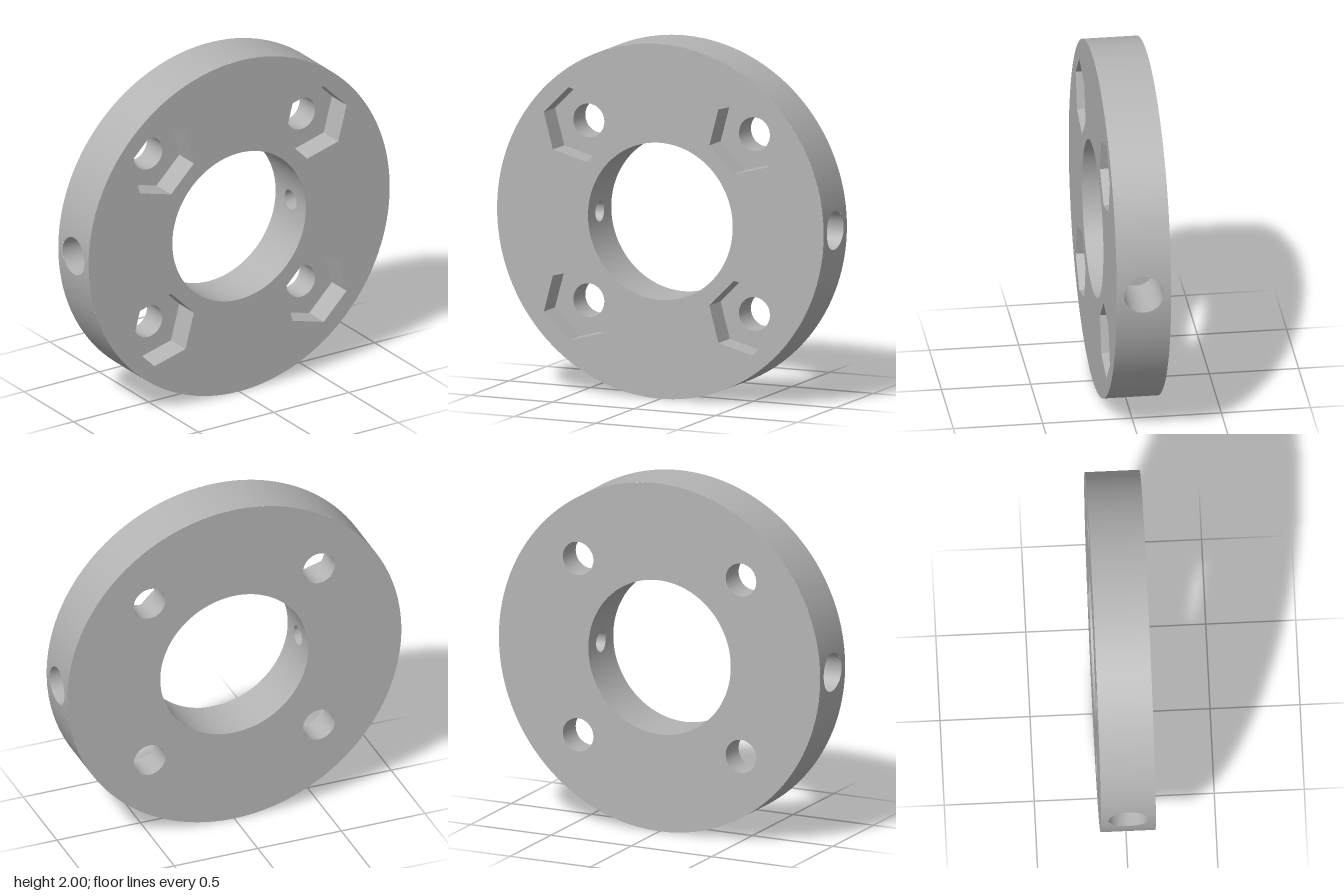
import * as THREE from 'three';
import { mergeGeometries } from 'three/addons/utils/BufferGeometryUtils.js';

const R = 1, BORE = 0.443, H = 0.1525;          // ring radii and half thickness
const BOLT = 0.507, BOLT_R = 0.095;             // bolt hole offset and radius
const HEX_R = 0.214, HEX_Z = 0.005;             // nut pocket radius and floor height
const SIDE_R = 0.11, PIN_R = 0.058, STEP_X = 0.65; // counterbored side holes
const TAU = Math.PI * 2;

// Grid surface from point and normal rules; winding follows the normals
function grid(nu, nv, point, normal) {
  const pos = [], nor = [], idx = [];
  for (let j = 0; j <= nv; j++) for (let i = 0; i <= nu; i++) {
    const p = point(i / nu, j / nv);
    pos.push(...p);
    nor.push(...new THREE.Vector3(...normal(p)).normalize().toArray());
  }
  const v = (i) => new THREE.Vector3().fromArray(pos, i * 3);
  const face = v(1).sub(v(0)).cross(v(nu + 1).sub(v(0)));
  const flip = face.dot(new THREE.Vector3().fromArray(nor)) < 0;
  for (let j = 0; j < nv; j++) for (let i = 0; i < nu; i++) {
    const a = j * (nu + 1) + i, b = a + 1, c = a + nu + 1, d = c + 1;
    idx.push(...(flip ? [a, c, b, b, c, d] : [a, b, c, b, d, c]));
  }
  const g = new THREE.BufferGeometry();
  g.setAttribute('position', new THREE.Float32BufferAttribute(pos, 3));
  g.setAttribute('normal', new THREE.Float32BufferAttribute(nor, 3));
  g.setIndex(idx);
  return g;
}

// Cylindrical wall around z with a round hole on each side
function wall(radius, holeR, half, sign) {
  const normal = ([x, y]) => [x * sign, y * sign, 0];
  const on = (t, z) => [radius * Math.cos(t), radius * Math.sin(t), z];
  const parts = [];
  for (const base of [0, Math.PI]) {
    parts.push(grid(80, 1, (u, v) =>
      on(base + half + u * (Math.PI - 2 * half), H * (2 * v - 1)), normal));
    parts.push(grid(64, 6, (u, v) => {
      const c = Math.cos(u * TAU), s = Math.sin(u * TAU), m = Math.max(Math.abs(c), Math.abs(s));
      const t0 = Math.asin(holeR * c / radius);
      return on(base + t0 + (half * c / m - t0) * v, holeR * s + (H * s / m - holeR * s) * v);
    }, normal));
  }
  return mergeGeometries(parts);
}

// Stepped hole running inwards along x
function sideHole(dir) {
  const inward = ([, y, z]) => [0, -y, -z];
  const tube = (r, from, to) => grid(48, 1, (u, v) => {
    const y = r * Math.cos(u * TAU), z = r * Math.sin(u * TAU);
    return [dir * (from(y) + (to(y) - from(y)) * v), y, z];
  }, inward);
  const arc = (rad) => (y) => Math.sqrt(rad * rad - y * y), step = () => STEP_X;
  const ledge = grid(48, 1, (u, v) => {
    const r = SIDE_R + (PIN_R - SIDE_R) * v;
    return [dir * STEP_X, r * Math.cos(u * TAU), r * Math.sin(u * TAU)];
  }, () => [dir, 0, 0]);
  return mergeGeometries([tube(SIDE_R, arc(R), step), ledge, tube(PIN_R, step, arc(BORE))]);
}

const circle = (C, x, y, r) => new C().absarc(x, y, r, 0, TAU, false);

// Corners of a nut pocket, mirrored by quadrant
const hexPoints = (sx, sy) => Array.from({ length: 6 }, (_, k) => {
  const a = (15 + 60 * k) * Math.PI / 180;
  return new THREE.Vector2(sx * (BOLT + HEX_R * Math.cos(a)), sy * (BOLT + HEX_R * Math.sin(a)));
});

export function createModel() {
  const grey = new THREE.MeshStandardMaterial({ color: 0xb4b4b4 });
  grey.name = 'grey';
  const model = new THREE.Group();
  model.name = 'clampRing';
  const add = (name, geometry) => {
    const m = new THREE.Mesh(geometry, grey);
    m.name = name;
    m.position.y = R;
    model.add(m);
    return m;
  };
  const quadrants = [[1, 1], [-1, 1], [-1, -1], [1, -1]];

  // Flat faces
  const front = circle(THREE.Shape, 0, 0, R), back = circle(THREE.Shape, 0, 0, R);
  for (const s of [front, back]) s.holes.push(circle(THREE.Path, 0, 0, BORE));
  for (const [sx, sy] of quadrants) {
    front.holes.push(new THREE.Path(hexPoints(sx, sy)));
    back.holes.push(circle(THREE.Path, sx * BOLT, sy * BOLT, BOLT_R));
  }
  add('frontFace', new THREE.ShapeGeometry(front, 80).translate(0, 0, H));
  add('backFace', new THREE.ShapeGeometry(back, 80).rotateY(Math.PI).translate(0, 0, -H));

  // Outer rim and bore
  add('outerRim', wall(R, SIDE_R, 0.16, 1));
  add('boreWall', wall(BORE, PIN_R, 0.26, -1));

  // Nut pockets and bolt holes
  for (const [sx, sy] of quadrants) {
    const cx = sx * BOLT, cy = sy * BOLT, pts = hexPoints(sx, sy);
    const floor = new THREE.Shape(pts);
    floor.holes.push(circle(THREE.Path, cx, cy, BOLT_R));
    add('pocketFloor', new THREE.ShapeGeometry(floor, 24).translate(0, 0, HEX_Z));
    add('pocketWalls', mergeGeometries(pts.map((a, k) => {
      const b = pts[(k + 1) % 6];
      return grid(1, 1, (u, v) => [a.x + (b.x - a.x) * u, a.y + (b.y - a.y) * u, HEX_Z + (H - HEX_Z) * v],
        () => [2 * cx - a.x - b.x, 2 * cy - a.y - b.y, 0]);
    })));
    add('boltHole', grid(48, 1, (u, v) =>
      [cx + BOLT_R * Math.cos(u * TAU), cy + BOLT_R * Math.sin(u * TAU), -H + (HEX_Z + H) * v],
      ([x, y]) => [cx - x, cy - y, 0]));
  }

  // Side holes
  add('leftSideHole', sideHole(1));
  add('rightSideHole', sideHole(-1));
  return model;
}
